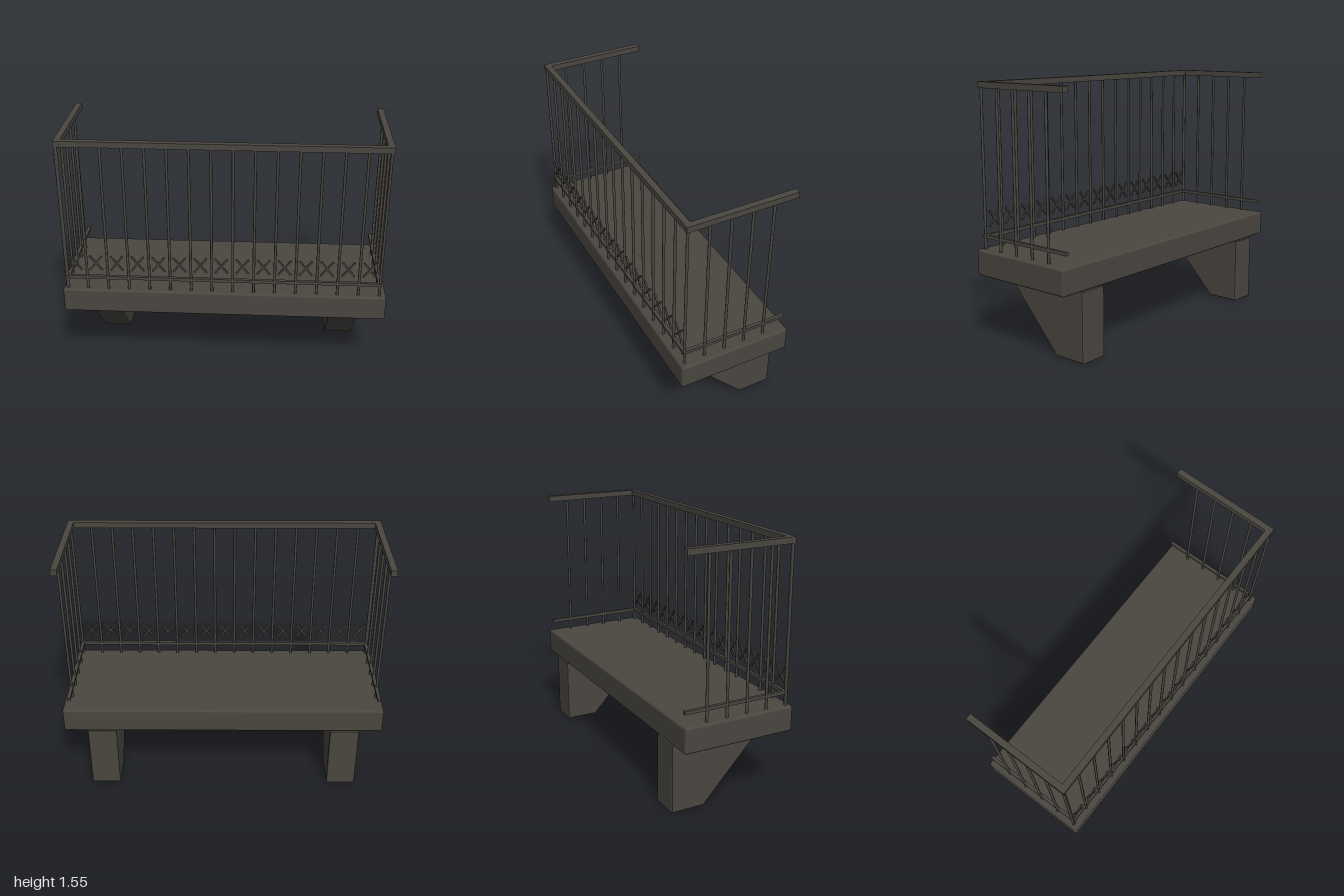
import * as THREE from 'three';
import { RoundedBoxGeometry } from 'three/addons/geometries/RoundedBoxGeometry.js';

export function createModel() {
  const model = new THREE.Group();
  model.name = 'balcony';
  const darkStone = new THREE.MeshStandardMaterial({ color: 0x4a4640 });
  darkStone.name = 'darkStone';

  const add = (name, geometry, x, y, z, parent = model) => {
    const mesh = new THREE.Mesh(geometry, darkStone);
    mesh.name = name;
    mesh.position.set(x, y, z);
    parent.add(mesh);
    return mesh;
  };

  // Floor slab with softened edges
  add('floorSlab', new RoundedBoxGeometry(2, 0.157, 0.704, 2, 0.014), 0, 0.4985, 0);

  // Wedge-shaped support brackets, profile drawn in (z, y)
  const profile = new THREE.Shape();
  profile.moveTo(-0.352, 0);
  profile.lineTo(-0.145, 0);
  profile.lineTo(0.245, 0.417);
  profile.lineTo(-0.352, 0.417);
  profile.closePath();
  const bevel = 0.008, width = 0.183;
  const bracket = new THREE.ExtrudeGeometry(profile, {
    depth: width - 2 * bevel, bevelEnabled: true, bevelSize: bevel,
    bevelThickness: bevel, bevelOffset: -bevel, bevelSegments: 2,
  });
  bracket.translate(0, 0, -(width - 2 * bevel) / 2);
  bracket.rotateY(-Math.PI / 2);
  add('leftBracket', bracket, 0.763, 0, 0);
  add('rightBracket', bracket, -0.767, 0, 0);

  // Handrails and lower rails: front run plus both returns
  const railing = new THREE.Group();
  railing.name = 'railing';
  model.add(railing);
  const leftX = 0.953, rightX = -0.962;
  const midX = (leftX + rightX) / 2, span = leftX - rightX;
  const rails = [
    { name: 'Handrail', y: 1.533, h: 0.036, w: 0.038, z: 0.312 },
    { name: 'LowerRail', y: 0.653, h: 0.02, w: 0.02, z: 0.317 },
  ];
  for (const { name, y, h, w, z } of rails) {
    add('front' + name, new THREE.BoxGeometry(span + w, h, w), midX, y, z, railing);
    const side = new THREE.BoxGeometry(w, h, 0.672);
    add('left' + name, side, leftX, y, -0.004, railing);
    add('right' + name, side, rightX, y, -0.004, railing);
  }

  // Thin upright bars
  const bottom = 0.57, top = 1.525;
  const bar = new THREE.CylinderGeometry(0.0085, 0.0085, top - bottom, 8);
  const barY = (bottom + top) / 2;
  const firstX = -0.973, step = 0.1287, frontZ = 0.319;
  for (let i = 0; i <= 15; i++) add('frontBar', bar, firstX + i * step, barY, frontZ, railing);
  for (let i = 0; i < 5; i++) {
    const z = frontZ - i * 0.13;
    if (i > 0) add('leftBar', bar, 0.957, barY, z, railing);
    add('rightBar', bar, -0.967, barY, z, railing);
  }

  // Small crosses between the front bars
  const strip = new THREE.BoxGeometry(0.01, 0.124, 0.01);
  for (let i = 0; i < 15; i++) {
    for (const s of [-1, 1]) {
      const arm = add('crossArm', strip, firstX + (i + 0.46) * step, 0.753, frontZ, railing);
      arm.rotation.z = s * 0.66;
    }
  }
  return model;
}
